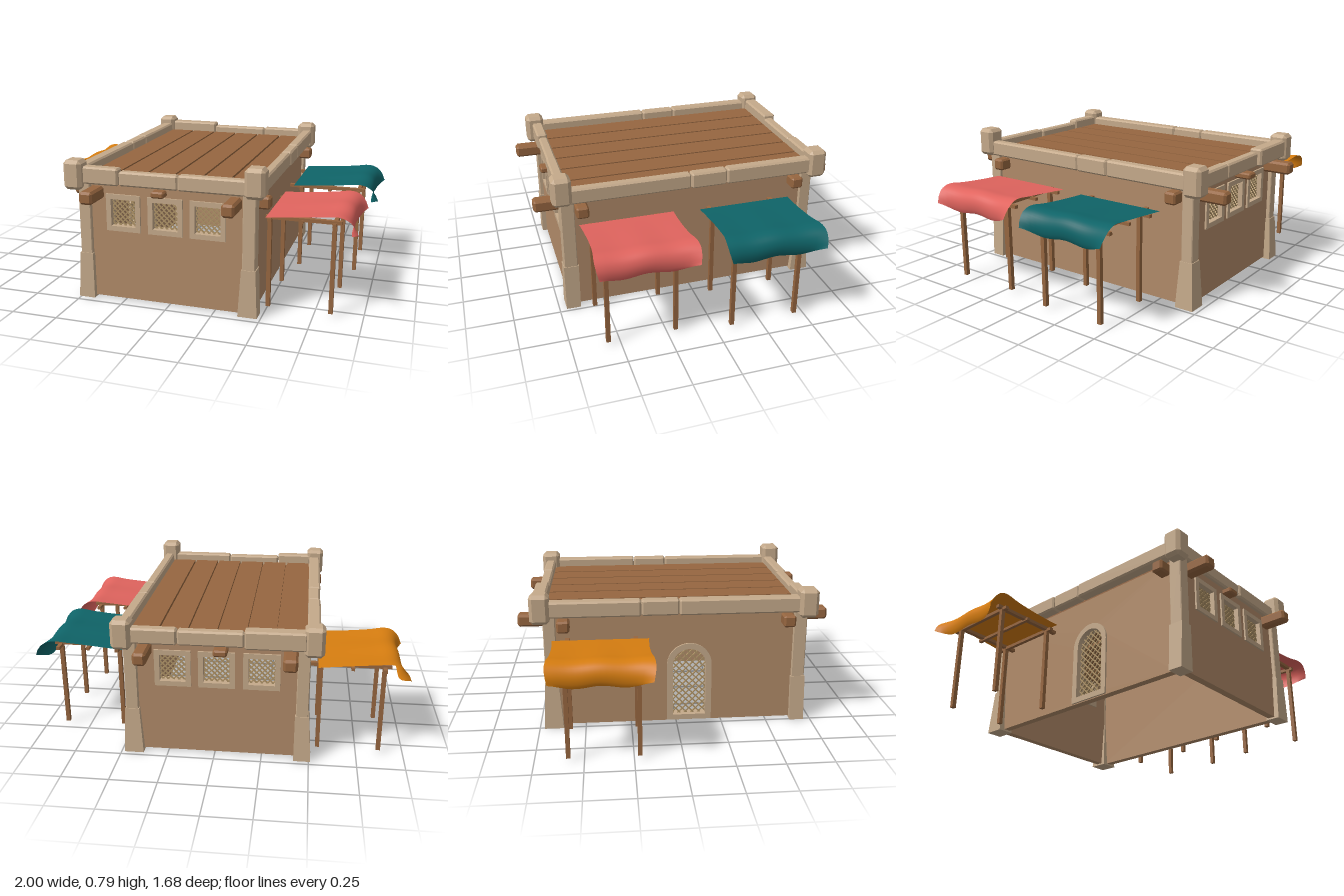
import * as THREE from 'three';
import { ConvexGeometry } from 'three/addons/geometries/ConvexGeometry.js';

const material = (name, color, side = THREE.FrontSide) => {
  const m = new THREE.MeshStandardMaterial({ color, side });
  m.name = name;
  return m;
};

export function createModel() {
  const model = new THREE.Group();
  const plaster = material('plaster', 0xb08a68);
  const stone = material('stone', 0xc4a98a);
  const wood = material('wood', 0x966640);
  const lattice = material('lattice', 0xb09468);
  const orange = material('orange cloth', 0xd67d10, THREE.DoubleSide);
  const teal = material('teal cloth', 0x0f6468, THREE.DoubleSide);
  const pink = material('pink cloth', 0xe0645e, THREE.DoubleSide);

  const add = (name, geometry, mat, parent = model) => {
    const mesh = new THREE.Mesh(geometry, mat);
    mesh.name = name;
    parent.add(mesh);
    return mesh;
  };
  // Box given by its limits
  const box = (name, mat, [x0, x1], [y0, y1], [z0, z1], parent) => {
    const mesh = add(name, new THREE.BoxGeometry(x1 - x0, y1 - y0, z1 - z0), mat, parent);
    mesh.position.set((x0 + x1) / 2, (y0 + y1) / 2, (z0 + z1) / 2);
    return mesh;
  };
  // Hewn block: a box with its edges cut off
  const block = (name, mat, xs, ys, zs, c) => {
    const pts = [];
    for (let i = 0; i < 8; i++) {
      const k = [i & 1, (i >> 1) & 1, (i >> 2) & 1];
      for (let full = 0; full < 3; full++) {
        pts.push(new THREE.Vector3(...[xs, ys, zs].map((r, a) =>
          r[k[a]] + (a === full ? 0 : (k[a] ? -c : c)))));
      }
    }
    return add(name, new ConvexGeometry(pts), mat);
  };

  // Shapes for walls, openings and frames
  const rect = (T, x0, x1, y0, y1) => {
    const s = new T();
    s.moveTo(x0, y0); s.lineTo(x1, y0); s.lineTo(x1, y1); s.lineTo(x0, y1); s.closePath();
    return s;
  };
  const arch = (T, cx, r, y0, ySpring) => {
    const s = new T();
    s.moveTo(cx - r, y0); s.lineTo(cx + r, y0); s.lineTo(cx + r, ySpring);
    s.absarc(cx, ySpring, r, 0, Math.PI, false);
    s.closePath();
    return s;
  };
  const extrude = (shape, z, depth) =>
    new THREE.ExtrudeGeometry(shape, { depth, bevelEnabled: false, curveSegments: 12 }).translate(0, 0, z);

  // Diagonal bars clipped to a convex opening
  const addLattice = (parent, cx, cy, reach, z, gap, inside) => {
    for (const dir of [1, -1]) {
      for (let o = -reach; o <= reach; o += gap) {
        let a = null, b = null;
        for (let t = -reach; t <= reach; t += 0.002) {
          const x = cx + (t - o) * Math.SQRT1_2, y = cy + dir * (t + o) * Math.SQRT1_2;
          if (inside(x, y)) { a ??= t; b = t; }
        }
        if (a === null || b - a < 0.01) continue;
        const t = (a + b) / 2;
        const bar = add('latticeBar', new THREE.BoxGeometry(b - a + 0.006, 0.006, 0.008), lattice, parent);
        bar.position.set(cx + (t - o) * Math.SQRT1_2, cy + dir * (t + o) * Math.SQRT1_2, z);
        bar.rotation.z = dir * Math.PI / 4;
      }
    }
  };

  // Front and back walls with three latticed windows each
  const windows = [-0.245, -0.013, 0.215];
  for (const side of [1, -1]) {
    const wall = new THREE.Group();
    wall.name = side > 0 ? 'frontWall' : 'backWall';
    model.add(wall);
    const zMid = side * 0.665;
    const shape = rect(THREE.Shape, -0.475, 0.45, 0.01, 0.64);
    for (const x of windows) shape.holes.push(rect(THREE.Path, x - 0.07, x + 0.07, 0.415, 0.565));
    add('wallPanel', extrude(shape, zMid - 0.02, 0.04), plaster, wall);
    for (const x of windows) {
      const frame = rect(THREE.Shape, x - 0.095, x + 0.095, 0.39, 0.59);
      frame.holes.push(rect(THREE.Path, x - 0.068, x + 0.068, 0.417, 0.563));
      add('windowFrame', extrude(frame, zMid - 0.03, 0.06), stone, wall);
      addLattice(wall, x, 0.49, 0.11, zMid, 0.02,
        (px, py) => Math.abs(px - x) < 0.07 && Math.abs(py - 0.49) < 0.075);
    }
  }

  // Left plain wall and right wall with the arched doorway
  box('leftWall', plaster, [0.41, 0.45], [0.01, 0.64], [-0.645, 0.645]);
  const doorWall = new THREE.Group();
  doorWall.name = 'doorWall';
  doorWall.rotation.y = -Math.PI / 2;
  doorWall.position.x = -0.455;
  model.add(doorWall);
  const doorZ = 0.07, doorSpring = 0.34;
  const side = rect(THREE.Shape, -0.645, 0.645, 0.01, 0.64);
  side.holes.push(arch(THREE.Path, doorZ, 0.095, 0.04, doorSpring));
  add('wallPanel', extrude(side, -0.02, 0.04), plaster, doorWall);
  const doorFrame = arch(THREE.Shape, doorZ, 0.122, 0.015, doorSpring);
  doorFrame.holes.push(arch(THREE.Path, doorZ, 0.09, 0.045, doorSpring));
  add('doorFrame', extrude(doorFrame, -0.03, 0.06), stone, doorWall);
  addLattice(doorWall, doorZ, 0.235, 0.3, 0, 0.026, (x, y) => y > 0.045 &&
    (y < doorSpring ? Math.abs(x - doorZ) < 0.092 : Math.hypot(x - doorZ, y - doorSpring) < 0.092));

  // Corner posts: flared foot, shaft and heavy cap
  const postX = { '-1': [[-0.51, -0.42], [-0.49, -0.425]], '1': [[0.38, 0.482], [0.4, 0.467]] };
  const postZ = { '-1': [[-0.725, -0.62], [-0.707, -0.642]], '1': [[0.635, 0.712], [0.635, 0.707]] };
  for (const sx of [-1, 1]) for (const sz of [-1, 1]) {
    const [fx, ux] = postX[sx], [fz, uz] = postZ[sz];
    const foot = [];
    for (const i of [0, 1]) for (const j of [0, 1]) {
      const e = 0.004;
      foot.push(new THREE.Vector3(fx[i], 0, fz[j]),
        new THREE.Vector3(ux[i] + (i ? e : -e), 0.255, uz[j] + (j ? e : -e)));
    }
    add('postFoot', new ConvexGeometry(foot), stone);
    block('postShaft', stone, ux, [0.24, 0.66], uz, 0.004);
    const high = sx * sz > 0 && sx > 0;
    block('postCap', stone, sx > 0 ? [0.413, 0.517] : [-0.556, -0.455],
      high ? [0.635, 0.79] : [0.608, 0.765], sz > 0 ? [0.648, 0.75] : [-0.768, -0.665], 0.018);
  }

  // Parapet stones along all four sides
  const alongZ = [[-0.68, -0.19], [-0.188, 0.01], [0.012, 0.67]];
  alongZ.forEach((z, i) => {
    block('parapetRight', stone, [-0.535 + (i === 1 ? 0.005 : 0), -0.468], [0.636, 0.722], z, 0.009);
    block('parapetLeft', stone, [0.443, 0.503 - (i === 2 ? 0.006 : 0)], [0.636, 0.724 - i * 0.002], z, 0.009);
  });
  for (const [x, h, z] of [[[-0.47, -0.262], 0.73, 0.716], [[-0.26, 0.06], 0.715, 0.708], [[0.062, 0.43], 0.72, 0.712]])
    block('parapetFront', stone, x, [0.638, h], [0.656, z], 0.009);
  for (const [x, h, z] of [[[-0.47, -0.16], 0.735, -0.762], [[-0.158, 0.18], 0.718, -0.742], [[0.182, 0.43], 0.722, -0.745]])
    block('parapetBack', stone, x, [0.638, h], [z, -0.688], 0.009);

  // Plank roof
  box('roofBase', wood, [-0.475, 0.45], [0.63, 0.66], [-0.69, 0.66]);
  const planks = 6, pw = 0.915 / planks;
  for (let i = 0; i < planks; i++) {
    const x = -0.47 + i * pw;
    box('roofPlank', wood, [x + 0.006, x + pw - 0.006], [0.655, 0.677], [-0.69, 0.66]);
  }

  // Roof beams and their protruding ends
  for (const x of [[-0.428, -0.355], [0.322, 0.39]])
    block('longBeam', wood, x, [0.56, 0.627], [-0.843, 0.833], 0.012);
  block('middleBeam', wood, [-0.075, -0.004], [0.598, 0.632], [-0.775, 0.738], 0.008);
  for (const z of [[-0.632, -0.566], [0.566, 0.632]])
    block('crossBeam', wood, [-0.55, 0.52], [0.558, 0.622], z, 0.01);

  // Awning: posts, rails and a sagging cloth that drapes over the outer edge
  const drape = new THREE.SplineCurve([[0, 0.515], [0.3, 0.525], [0.6, 0.537], [0.78, 0.545],
    [0.89, 0.525], [0.955, 0.48], [0.98, 0.425]].map(p => new THREE.Vector2(...p)));
  const awning = (name, mat, sx, xIn, xOut, [z0, z1], posts, zs) => {
    const g = new THREE.Group();
    g.name = name;
    model.add(g);
    const span = (a, b) => [Math.min(sx * a, sx * b), Math.max(sx * a, sx * b)];
    for (const x of posts) {
      for (const z of zs) box('awningPost', wood, span(x - 0.011, x + 0.011), [0.015, 0.5], [z - 0.011, z + 0.011], g);
      box('awningCrossRail', wood, span(x - 0.01, x + 0.01), [0.485, 0.503], [z0 + 0.03, z1 - 0.03], g);
    }
    for (const z of zs) box('awningRail', wood, span(0.485, posts[1] + 0.035), [0.495, 0.513], [z - 0.012, z + 0.012], g);
    const mid = (posts[0] + posts[1]) / 2;
    box('awningCrossRail', wood, span(mid - 0.009, mid + 0.009), [0.487, 0.503], [z0 + 0.04, z1 - 0.04], g);
    const cloth = new THREE.PlaneGeometry(1, 1, 24, 18);
    const p = cloth.attributes.position;
    for (let i = 0; i < p.count; i++) {
      const u = p.getX(i) + 0.5, v = p.getY(i) + 0.5;
      const d = drape.getPoint(u);
      const corner = Math.pow(2 * v - 1, 4), outer = Math.pow(u, 5);
      const x = d.x + outer * (0.02 - 0.11 * (1 - corner));
      const y = d.y + outer * 0.03 * corner + 0.007 * u * Math.cos(4 * Math.PI * v);
      const z = z0 + (z1 - z0) * v + 0.008 * Math.sin(u * 7) * (1 - 2 * v);
      p.setXYZ(i, sx * (xIn + (xOut - xIn) * x), y, sx > 0 ? z0 + z1 - z : z);
    }
    cloth.computeVertexNormals();
    add('awningCloth', cloth, mat, g);
  };
  awning('orangeAwning', orange, -1, 0.53, 1.0, [-0.66, -0.15], [0.545, 0.87], [-0.58, -0.22]);
  awning('tealAwning', teal, 1, 0.515, 1.0, [-0.545, -0.03], [0.555, 0.882], [-0.445, -0.088]);
  awning('pinkAwning', pink, 1, 0.495, 0.96, [0.11, 0.62], [0.507, 0.835], [0.205, 0.562]);

  return model;
}
